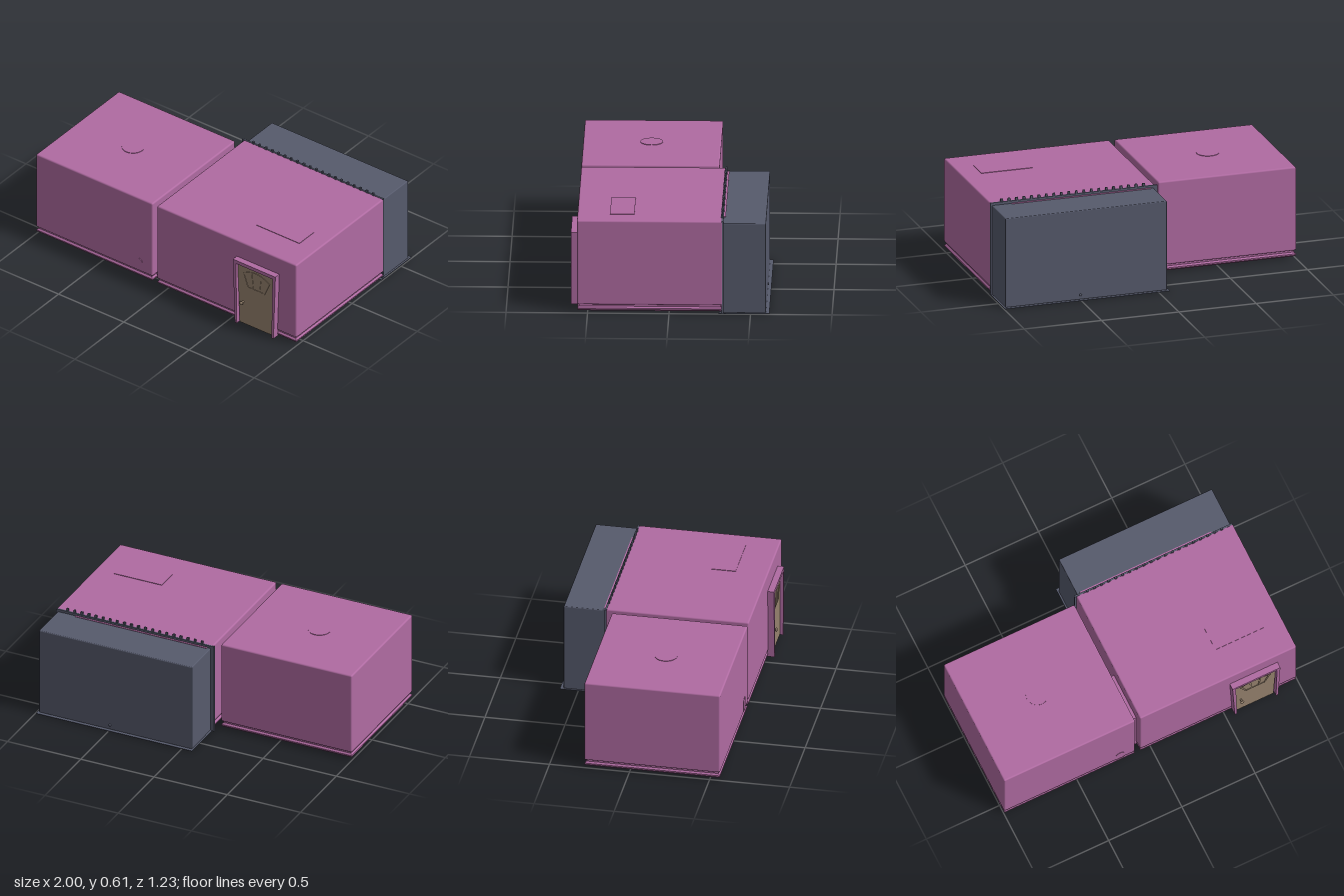
import * as THREE from 'three';
import { RoundedBoxGeometry } from 'three/addons/geometries/RoundedBoxGeometry.js';

const PINK = new THREE.MeshStandardMaterial({ color: 0xb06ba2 });
const SLATE = new THREE.MeshStandardMaterial({ color: 0x565a6c });
const TAN = new THREE.MeshStandardMaterial({ color: 0x96826e });

function add(parent, name, geometry, material) {
  const mesh = new THREE.Mesh(geometry, material);
  mesh.name = name;
  parent.add(mesh);
  return mesh;
}

// Box given by its limits on each axis; optional rounded edges
function block(parent, name, material, [x0, x1], [y0, y1], [z0, z1], radius = 0) {
  const size = [x1 - x0, y1 - y0, z1 - z0];
  const geo = radius ? new RoundedBoxGeometry(...size, 3, radius) : new THREE.BoxGeometry(...size);
  const mesh = add(parent, name, geo, material);
  mesh.position.set((x0 + x1) / 2, (y0 + y1) / 2, (z0 + z1) / 2);
  return mesh;
}

function polygon(points) {
  return new THREE.Shape(points.map(([x, y]) => new THREE.Vector2(x, y)));
}

function extrude(shape, depth) {
  return new THREE.ExtrudeGeometry(shape, { depth, bevelEnabled: false, curveSegments: 12 });
}

// Room: rounded block over a recessed groove and a bevelled plinth
function room(name, [x0, x1], [z0, z1]) {
  const g = new THREE.Group();
  g.name = name;
  block(g, name + 'Walls', PINK, [x0, x1], [0.053, 0.595], [z0, z1], 0.01);
  block(g, name + 'Groove', PINK, [x0 + 0.012, x1 - 0.012], [0.03, 0.06], [z0 + 0.012, z1 - 0.012]);
  const i = 0.012;
  const plinth = add(g, name + 'Plinth', new THREE.ExtrudeGeometry(
    polygon([[x0 + i, -z1 + i], [x1 - i, -z1 + i], [x1 - i, -z0 - i], [x0 + i, -z0 - i]]),
    { depth: 0.008, bevelThickness: 0.01, bevelSize: 0.01, bevelSegments: 1 }), PINK);
  plinth.rotation.x = -Math.PI / 2;
  plinth.position.y = 0.023;
  return g;
}

function doorway() {
  const g = new THREE.Group();
  g.name = 'doorway';
  // Tapered surround, open at the foot
  const surround = polygon([
    [-0.148, 0.01], [-0.133, 0.01], [-0.14, 0.452], [0.14, 0.452],
    [0.133, 0.01], [0.148, 0.01], [0.163, 0.476], [-0.163, 0.476]]);
  add(g, 'doorFrame', extrude(surround, 0.045), PINK).position.z = 0.56;
  const panel = polygon([[-0.125, 0.015], [0.125, 0.015], [0.141, 0.455], [-0.141, 0.455]]);
  add(g, 'door', extrude(panel, 0.025), TAN).position.z = 0.56;
  // Fan window with three panes
  const fan = new THREE.Shape();
  fan.moveTo(-0.065, 0.29);
  fan.lineTo(0.065, 0.29);
  fan.lineTo(0.105, 0.385);
  fan.quadraticCurveTo(0, 0.46, -0.105, 0.385);
  fan.closePath();
  const panes = [
    [[-0.06, 0.3], [-0.03, 0.3], [-0.04, 0.405], [-0.09, 0.383]],
    [[-0.02, 0.3], [0.02, 0.3], [0.03, 0.41], [-0.03, 0.41]],
    [[0.03, 0.3], [0.06, 0.3], [0.09, 0.383], [0.04, 0.405]]];
  fan.holes = panes.map((p) => new THREE.Path(p.map(([x, y]) => new THREE.Vector2(x, y))));
  add(g, 'doorWindow', extrude(fan, 0.004), TAN).position.z = 0.584;
  const stem = add(g, 'knobStem', new THREE.CylinderGeometry(0.006, 0.006, 0.03, 12), TAN);
  stem.rotation.x = Math.PI / 2;
  stem.position.set(-0.098, 0.175, 0.597);
  const knob = add(g, 'doorKnob', new THREE.SphereGeometry(0.013, 16, 10), TAN);
  knob.scale.z = 0.6;
  knob.position.set(-0.098, 0.175, 0.607);
  g.position.x = 0.703;
  return g;
}

// Slate rear hall with its floor plate, front frame and row of pegs
function rearHall() {
  const g = new THREE.Group();
  g.name = 'rearHall';
  block(g, 'hallWalls', SLATE, [-0.06, 0.985], [0.002, 0.58], [-0.594, -0.325], 0.006);
  block(g, 'hallFloorPlate', SLATE, [-0.07, 0.995], [0, 0.004], [-0.615, -0.305]);
  block(g, 'hallFrontFrame', SLATE, [-0.085, 0.995], [0, 0.597], [-0.333, -0.322]);
  block(g, 'roofLip', PINK, [-0.04, 0.86], [0.578, 0.583], [-0.345, -0.325]);
  for (let i = 0; i < 20; i++) {
    const x = 0.002 + i * 0.0483;
    block(g, 'peg', SLATE, [x - 0.007, x + 0.007], [0.59, 0.614], [-0.328, -0.318]);
  }
  add(g, 'rearKnob', new THREE.SphereGeometry(0.008, 10, 8), SLATE).position.set(0.5, 0.033, -0.594);
  return g;
}

export function createModel() {
  const model = new THREE.Group();
  model.name = 'roomBuilding';

  model.add(room('mainRoom', [-0.072, 0.996], [-0.33, 0.565]));
  model.add(room('sideRoom', [-1, -0.107], [-0.283, 0.565]));
  model.add(doorway(), rearHall());

  // Passage joining the two rooms
  block(model, 'passage', PINK, [-0.115, -0.065], [0.012, 0.475], [0.2, 0.51]);

  // Low panels on the roofs
  block(model, 'roofPanel', PINK, [0.54, 0.87], [0.59, 0.598], [0.215, 0.365]);
  add(model, 'roofDisc', new THREE.CylinderGeometry(0.07, 0.07, 0.008, 32), PINK)
    .position.set(-0.57, 0.594, 0.145);

  // Small arched hatch on the side room
  const hatch = new THREE.Shape();
  hatch.moveTo(-0.028, 0.06);
  hatch.lineTo(0.028, 0.06);
  hatch.lineTo(0.028, 0.12);
  hatch.absarc(0, 0.12, 0.028, 0, Math.PI);
  hatch.closePath();
  add(model, 'hatch', extrude(hatch, 0.008), PINK).position.set(-0.21, 0, 0.559);

  // Small knobs on the main room's inner side wall
  for (const z of [0.055, 0.14])
    add(model, 'wallKnob', new THREE.SphereGeometry(0.008, 10, 8), PINK).position.set(-0.074, 0.25, z);

  // L-shaped footing under the main room
  const footing = add(model, 'footing', extrude(polygon([
    [0.14, -0.11], [0.33, -0.11], [0.33, -0.55], [0.43, -0.55], [0.43, -0.03], [0.14, -0.03]]), 0.01), PINK);
  footing.rotation.x = -Math.PI / 2;
  footing.position.y = 0.009;

  return model;
}
